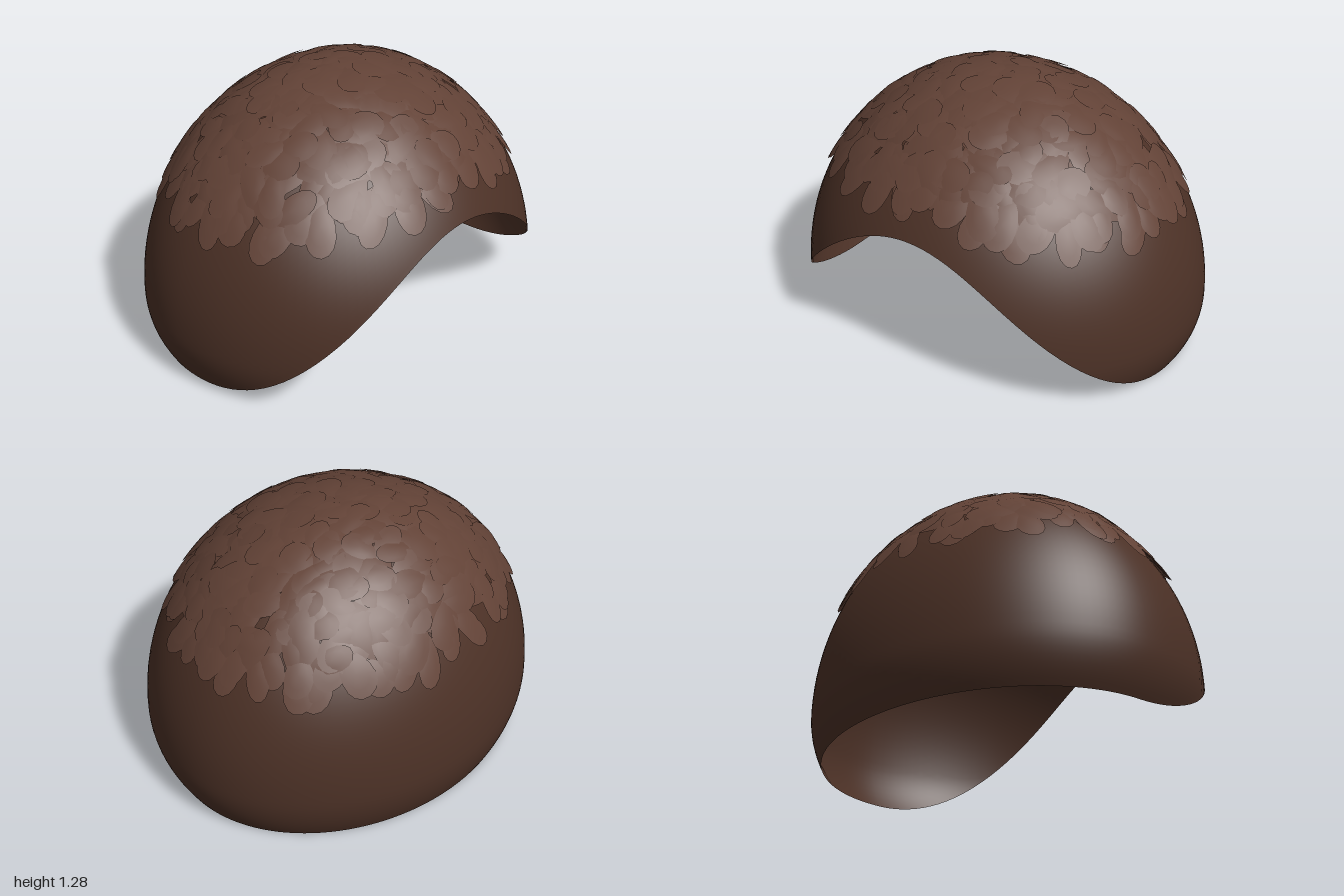
import * as THREE from 'three';
import { mergeGeometries } from 'three/addons/utils/BufferGeometryUtils.js';

// Small seeded generator for the scattered flakes
function seeded(seed) {
  return () => {
    seed = (seed * 1664525 + 1013904223) >>> 0;
    return seed / 4294967296;
  };
}

// Maps a unit direction to the egg-shaped dome surface, pushed out by lift
function onDome(n, lift = 0) {
  const k = 1 + lift;
  return new THREE.Vector3(
    n.x * k,
    0.25 + n.y * k * (n.y > 0 ? 1.018 : 0.66),
    n.z * k * (n.z > 0 ? 0.93 : 0.8)
  );
}

function direction(theta, phi) {
  return new THREE.Vector3(
    Math.sin(phi) * Math.sin(theta), Math.cos(phi), Math.sin(phi) * Math.cos(theta)
  );
}

// Height of the rim: flat behind, sweeping up to the brow in front
function rimHeight(z) {
  const t = THREE.MathUtils.clamp(z / 0.8, 0, 1);
  return 0.01 + 0.77 * (1 - Math.sqrt(1 - t * t));
}

// Polar angle where the dome meets the rim
function rimAngle(theta) {
  let lo = 0.3, hi = 2.2;
  for (let i = 0; i < 30; i++) {
    const mid = (lo + hi) / 2;
    const p = onDome(direction(theta, mid));
    if (p.y > rimHeight(p.z)) lo = mid; else hi = mid;
  }
  return lo;
}

function gridGeometry(points, index) {
  const geo = new THREE.BufferGeometry();
  geo.setAttribute('position', new THREE.Float32BufferAttribute(points.flatMap((p) => p.toArray()), 3));
  geo.setIndex(index);
  geo.computeVertexNormals();
  return geo;
}

// Open dome, ringed from the crown down to the rim
function shellGeometry(around = 128, down = 40) {
  const points = [onDome(direction(0, 0))], index = [];
  const limits = Array.from({ length: around }, (_, i) => rimAngle((i / around) * Math.PI * 2));
  for (let j = 1; j <= down; j++) {
    for (let i = 0; i < around; i++) {
      points.push(onDome(direction((i / around) * Math.PI * 2, limits[i] * j / down)));
    }
  }
  for (let i = 0; i < around; i++) {
    const k = (i + 1) % around;
    index.push(0, 1 + i, 1 + k);
    for (let j = 0; j < down - 1; j++) {
      const a = 1 + j * around + i, b = 1 + j * around + k;
      index.push(a, a + around, b, b, a + around, b + around);
    }
  }
  return gridGeometry(points, index);
}

// One oval flake wrapped over the dome, with its lower tip slightly raised
function flakeGeometry(n, spin, length, width, lift) {
  const east = new THREE.Vector3(n.z, 0, -n.x).normalize();
  const south = new THREE.Vector3().crossVectors(east, n).normalize();
  const along = south.clone().multiplyScalar(Math.cos(spin)).addScaledVector(east, Math.sin(spin));
  const across = new THREE.Vector3().crossVectors(n, along);
  const sides = 16, points = [onDome(n, lift + 0.004)], index = [];
  for (const r of [0.6, 1]) {
    for (let i = 0; i < sides; i++) {
      const a = (i / sides) * Math.PI * 2;
      const u = Math.cos(a) * r, v = Math.sin(a) * r * (1 + 0.25 * Math.cos(a));
      const d = n.clone().addScaledVector(along, u * length).addScaledVector(across, v * width).normalize();
      points.push(onDome(d, lift + 0.004 * (1 - r) + 0.006 * u));
    }
  }
  for (let i = 0; i < sides; i++) {
    const k = (i + 1) % sides, a = 1 + i, b = 1 + k;
    index.push(0, a, b, a, a + sides, b, b, a + sides, b + sides);
  }
  return gridGeometry(points, index);
}

// Flakes spread over the crown on a golden spiral
function flakesGeometry(count = 340) {
  const rand = seeded(7), flakes = [];
  for (let i = 0; i < count; i++) {
    const theta = i * 2.39996 + (rand() - 0.5) * 0.2;
    const front = Math.max(0, Math.cos(theta)) ** 4;
    const lowest = 0.55 + 0.1 * front;
    const t = (i + 0.5) / count;
    const phi = Math.acos(1 - t * (1 - lowest));
    const fringe = t > 0.82;
    const spin = (rand() - 0.5) * (fringe ? 1.5 : Math.PI * 2);
    flakes.push(flakeGeometry(
      direction(theta, phi), spin, 0.1 + rand() * 0.04, 0.055 + rand() * 0.025, 0.009 + rand() * 0.008
    ));
  }
  return mergeGeometries(flakes);
}

export function createModel() {
  const group = new THREE.Group();
  group.name = 'flakedShell';
  const add = (name, geometry, color) => {
    const material = new THREE.MeshStandardMaterial({ color, side: THREE.DoubleSide });
    const mesh = new THREE.Mesh(geometry, material);
    mesh.name = name;
    group.add(mesh);
  };
  add('domeShell', shellGeometry(), 0x4c3126);
  add('crownFlakes', flakesGeometry(), 0x624236);
  return group;
}
